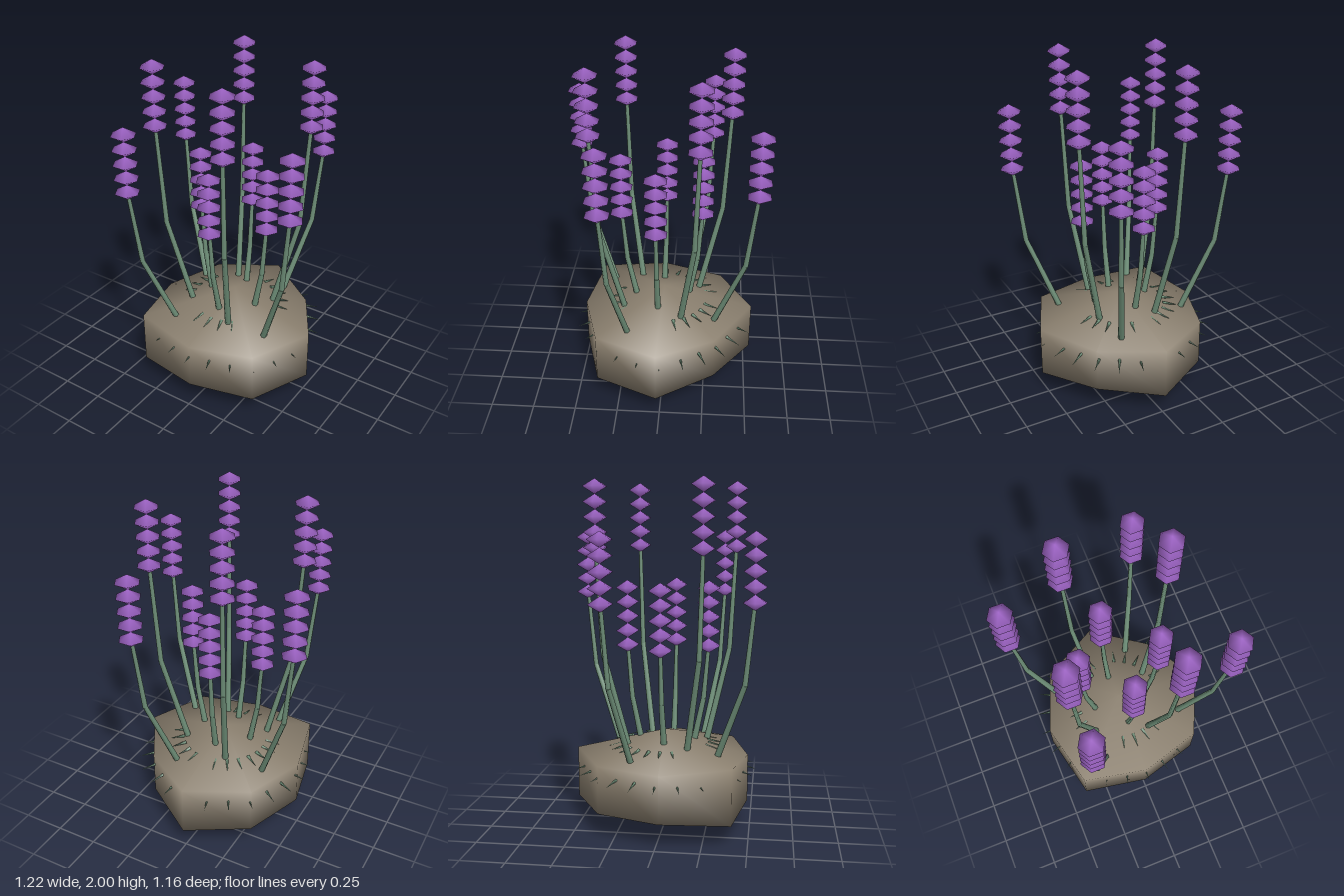
import * as THREE from 'three';
import { mergeVertices } from 'three/addons/utils/BufferGeometryUtils.js';

const material = (name, color) => {
  const m = new THREE.MeshStandardMaterial({ color });
  m.name = name;
  return m;
};

export function createModel() {
  const rockBrown = material('rockBrown', 0x8c8170);
  const stemGreen = material('stemGreen', 0x6f9079);
  const petalPurple = material('petalPurple', 0xa367cc);

  const model = new THREE.Group();
  model.name = 'floweringRock';
  const V = (x, y, z) => new THREE.Vector3(x, y, z);

  // Tapered rod running from a to b
  const rod = (name, a, b, rA, rB, sides) => {
    const dir = b.clone().sub(a);
    const mesh = new THREE.Mesh(new THREE.CylinderGeometry(rB, rA, dir.length(), sides), stemGreen);
    mesh.name = name;
    mesh.position.copy(a).add(b).multiplyScalar(0.5);
    mesh.quaternion.setFromUnitVectors(V(0, 1, 0), dir.normalize());
    return mesh;
  };

  // Rock: eight-sided squashed ball with an uneven outline, starting at the back
  const outline = [[0, -0.53], [0.33, -0.31], [0.53, 0.02], [0.37, 0.38],
    [0, 0.485], [-0.39, 0.41], [-0.48, 0.02], [-0.35, -0.34]];
  const ball = new THREE.SphereGeometry(1, 8, 3);
  const p = ball.attributes.position;
  for (let i = 0; i < p.count; i++) {
    const y = p.getY(i);
    if (Math.abs(y) > 0.9) {
      p.setXYZ(i, 0, y > 0 ? 0.56 : 0, 0);
      continue;
    }
    const k = Math.round(Math.atan2(p.getX(i), -p.getZ(i)) / (Math.PI / 4));
    const [x, z] = outline[(k + 8) % 8];
    p.setXYZ(i, x, 0.28 + Math.sign(y) * 0.283 * Math.hypot(x, z), z);
  }
  ball.deleteAttribute('normal');
  ball.deleteAttribute('uv');
  const rockGeometry = mergeVertices(ball);
  rockGeometry.computeVertexNormals();
  const rock = new THREE.Mesh(rockGeometry, rockBrown);
  rock.name = 'rock';
  model.add(rock);

  // Two rings of small thorns, mostly buried in the rock
  const thorns = new THREE.Group();
  thorns.name = 'thorns';
  for (const [r0, y0, r1, y1] of [[0.42, 0.365, 0.535, 0.333], [0.25, 0.482, 0.335, 0.468]]) {
    for (let i = 0; i < 24; i++) {
      const a = i * Math.PI / 12;
      const s = Math.sin(a), c = Math.cos(a);
      thorns.add(rod('thorn', V(s * r0, y0, c * r0), V(s * r1, y1, c * r1), 0.011, 0, 5));
    }
  }
  model.add(thorns);

  // Flower stalks: three rings, each with base, bend and head height;
  // each stalk lists its base x, z and head x, z
  const rings = [
    { name: 'innerFlower', baseY: 0.5, bendY: 0.75, bend: 0.66, headY: 1.06, stalks: [
      [-0.01, -0.145, -0.02, -0.22], [-0.16, 0.01, -0.235, 0],
      [0.16, 0.03, 0.235, 0.035], [0, 0.17, -0.005, 0.25]] },
    { name: 'tallFlower', baseY: 0.5, bendY: 1.02, bend: 0.78, headY: 1.624, stalks: [
      [-0.11, -0.21, -0.18, -0.37], [0.21, -0.11, 0.36, -0.205],
      [0.11, 0.24, 0.187, 0.395], [-0.21, 0.15, -0.357, 0.245]] },
    { name: 'outerFlower', baseY: 0.46, bendY: 0.89, bend: 0.76, headY: 1.342, stalks: [
      [0.17, -0.31, 0.285, -0.52], [-0.33, -0.16, -0.54, -0.27],
      [0.33, 0.2, 0.535, 0.31], [-0.21, 0.32, -0.345, 0.52]] },
  ];
  const beadGeometry = new THREE.SphereGeometry(0.072, 6, 2);
  beadGeometry.scale(1, 0.6, 1);

  for (const { name, baseY, bendY, bend, headY, stalks } of rings) {
    for (const [bx, bz, hx, hz] of stalks) {
      const flower = new THREE.Group();
      flower.name = name;
      const base = V(bx, baseY, bz);
      const knee = V(bx + (hx - bx) * bend, bendY, bz + (hz - bz) * bend);
      const head = V(hx, headY, hz);
      const root = base.clone().lerp(knee, -0.15);
      flower.add(rod('lowerStem', root, knee, 0.019, 0.015, 6));
      flower.add(rod('upperStem', knee, head, 0.015, 0.011, 6));
      // Five stacked blossoms
      for (let i = 0; i < 5; i++) {
        const bead = new THREE.Mesh(beadGeometry, petalPurple);
        bead.name = 'blossom';
        bead.position.set(hx, headY + i * 0.083, hz);
        flower.add(bead);
      }
      model.add(flower);
    }
  }
  return model;
}
